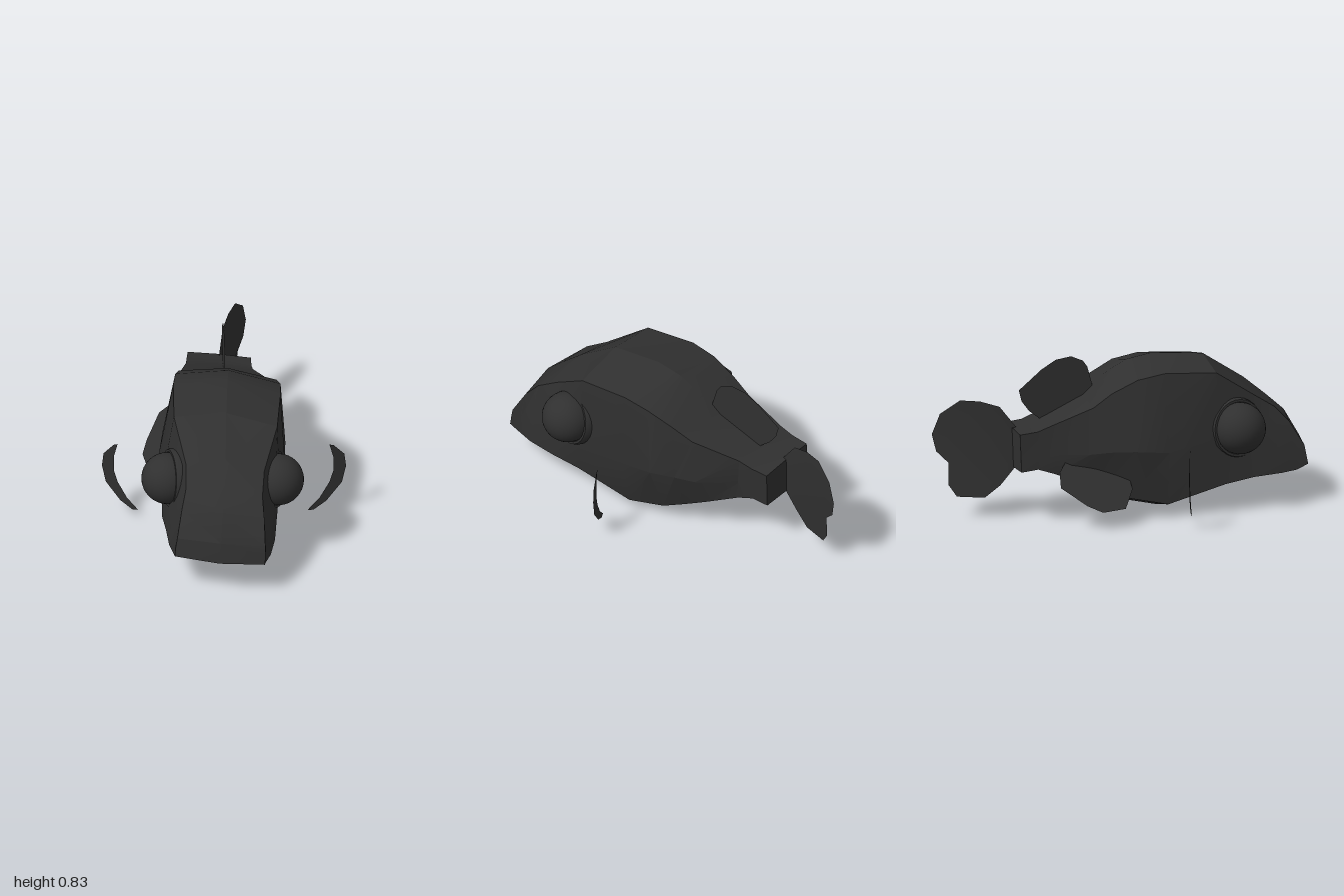
import * as THREE from 'three';
import { toCreasedNormals } from 'three/addons/utils/BufferGeometryUtils.js';

const charcoal = new THREE.MeshStandardMaterial({ color: 0x303030, side: THREE.DoubleSide });
charcoal.name = 'charcoal';

function addMesh(parent, name, geometry) {
  const mesh = new THREE.Mesh(geometry, charcoal);
  mesh.name = name;
  parent.add(mesh);
  return mesh;
}

// Cross-sections from snout to tail stem:
// top z, top y, bottom z, bottom y, centre x, half widths (top, middle, bottom), corner drop, corner rise
const sections = [
  [0.98, 0.31, 1.0, 0.2, 0.055, 0.23, 0.235, 0.235, 0.01, 0.0],
  [0.9, 0.45, 0.94, 0.165, 0.05, 0.215, 0.235, 0.24, 0.02, 0.01],
  [0.8, 0.54, 0.82, 0.15, 0.045, 0.2, 0.25, 0.265, 0.03, 0.02],
  [0.68, 0.64, 0.66, 0.135, 0.035, 0.205, 0.27, 0.285, 0.05, 0.03],
  [0.46, 0.785, 0.5, 0.115, 0.012, 0.27, 0.305, 0.295, 0.05, 0.03],
  [0.18, 0.81, 0.19, 0.003, -0.005, 0.28, 0.328, 0.275, 0.055, 0.055],
  [0.04, 0.785, -0.02, 0.05, -0.01, 0.275, 0.32, 0.25, 0.055, 0.05],
  [-0.1, 0.71, -0.14, 0.105, -0.02, 0.255, 0.285, 0.22, 0.045, 0.04],
  [-0.2, 0.62, -0.25, 0.16, -0.035, 0.235, 0.26, 0.2, 0.025, 0.03],
  [-0.43, 0.52, -0.41, 0.24, -0.078, 0.175, 0.18, 0.175, 0.01, 0.015],
  [-0.5, 0.49, -0.5, 0.28, -0.085, 0.17, 0.17, 0.17, 0.005, 0.005],
  [-0.595, 0.48, -0.59, 0.27, -0.09, 0.165, 0.165, 0.165, 0.005, 0.005],
];

function bodyGeometry() {
  const positions = [], indices = [], n = 8;
  for (const [zt, yt, zb, yb, cx, wt, wm, wb, drop, rise] of sections) {
    const ym = yb + (yt - yb) * 0.42;
    const ring = [[0, yt], [-wt, yt - drop], [-wm, ym], [-wb, yb + rise],
      [0, yb], [wb, yb + rise], [wm, ym], [wt, yt - drop]];
    for (const [dx, y] of ring) {
      const x = cx + dx;
      const z = zb + (zt - zb) * (y - yb) / (yt - yb);
      // slight roll, and a snout that is blunter at its sides
      const back = z > 0.85 ? Math.abs(dx) * 0.13 : 0;
      positions.push(x + 0.06 * (y - 0.4), y - 0.06 * x, z - back);
    }
  }
  const last = (sections.length - 1) * n;
  for (let i = 0; i < last; i += n) {
    for (let j = 0; j < n; j++) {
      const k = (j + 1) % n;
      indices.push(i + j, i + n + j, i + n + k, i + j, i + n + k, i + k);
    }
  }
  for (let j = 1; j < n - 1; j++) {
    indices.push(0, j, j + 1, last, last + j + 1, last + j);
  }
  const geometry = new THREE.BufferGeometry();
  geometry.setAttribute('position', new THREE.Float32BufferAttribute(positions, 3));
  geometry.setIndex(indices);
  return toCreasedNormals(geometry, 0.35);
}

// Thin fin: a flat outline whose points are placed in space by a rule
function finGeometry(outline, place) {
  const shape = new THREE.Shape(outline.map(([u, v]) => new THREE.Vector2(u, v)));
  const geometry = new THREE.ShapeGeometry(shape);
  const p = geometry.attributes.position;
  for (let i = 0; i < p.count; i++) p.setXYZ(i, ...place(p.getX(i), p.getY(i)));
  return toCreasedNormals(geometry, 0.5);
}

function addEye(parent, name, center, normal) {
  const eye = new THREE.Group();
  eye.name = name;
  eye.position.set(...center);
  eye.quaternion.setFromUnitVectors(new THREE.Vector3(0, 0, 1), new THREE.Vector3(...normal).normalize());
  addMesh(eye, 'eyeball', new THREE.SphereGeometry(0.135, 32, 20)).position.z = 0.03;
  // raised rim round the eye
  const rim = [[0.155, -0.06], [0.158, 0.0], [0.15, 0.022], [0.138, 0.022], [0.128, 0.0]];
  const rimGeometry = new THREE.LatheGeometry(rim.map(([r, h]) => new THREE.Vector2(r, h)), 28);
  addMesh(eye, 'eyeRim', toCreasedNormals(rimGeometry, 0.7)).rotation.x = Math.PI / 2;
  parent.add(eye);
}

export function createModel() {
  const fish = new THREE.Group();
  fish.name = 'fish';

  addMesh(fish, 'body', bodyGeometry());
  addEye(fish, 'leftEye', [0.285, 0.445, 0.545], [0.95, 0.17, 0.27]);
  addEye(fish, 'rightEye', [-0.235, 0.445, 0.575], [-0.94, 0.12, 0.32]);

  // Tail fin, sweeping towards the left side
  const tail = [[-0.56, 0.47], [-0.66, 0.6], [-0.76, 0.63], [-0.86, 0.635], [-0.96, 0.56],
    [-1.0, 0.45], [-0.98, 0.36], [-0.92, 0.3], [-0.92, 0.18], [-0.88, 0.12], [-0.74, 0.115],
    [-0.66, 0.18], [-0.56, 0.3]];
  addMesh(fish, 'tailFin', finGeometry(tail, (z, y) => {
    const t = Math.max(0, -z - 0.6);
    return [-0.09 + 0.12 * t + 0.38 * t * t + 0.04 * (y - 0.4), y, z];
  }));

  // Dorsal fin
  const dorsal = [[-0.14, 0.64], [-0.175, 0.77], [-0.2, 0.805], [-0.265, 0.835], [-0.35, 0.825],
    [-0.43, 0.78], [-0.555, 0.68], [-0.54, 0.62], [-0.5, 0.565], [-0.42, 0.5]];
  addMesh(fish, 'dorsalFin', finGeometry(dorsal, (z, y) => [-0.002 + 0.12 * z, y, z]));

  // Lower fin on the right side, sloping down and outward
  const lower = [[-0.27, -0.02], [-0.33, -0.01], [-0.42, -0.07], [-0.455, -0.2], [-0.44, -0.28],
    [-0.385, -0.41], [-0.32, -0.4], [-0.24, -0.33]];
  addMesh(fish, 'lowerFin', finGeometry(lower, (x, z) =>
    [x, 0.24 + 1.05 * (x + 0.32) - 0.26 * (z + 0.2), z]));

  // Side fins: a crescent on each side
  const crescent = [[0.55, 0.43], [0.572, 0.42], [0.625, 0.355], [0.634, 0.28], [0.613, 0.185],
    [0.535, 0.09], [0.47, 0.05], [0.44, 0.055], [0.46, 0.075], [0.5, 0.115], [0.55, 0.2],
    [0.57, 0.265], [0.57, 0.35]];
  addMesh(fish, 'leftSideFin', finGeometry(crescent, (x, y) => [x, y, 0.12 + 0.48 * (0.63 - x)]));
  addMesh(fish, 'rightSideFin', finGeometry(crescent, (x, y) => [-x, y, 0.215 + 0.33 * (0.635 - x)]));

  return fish;
}
